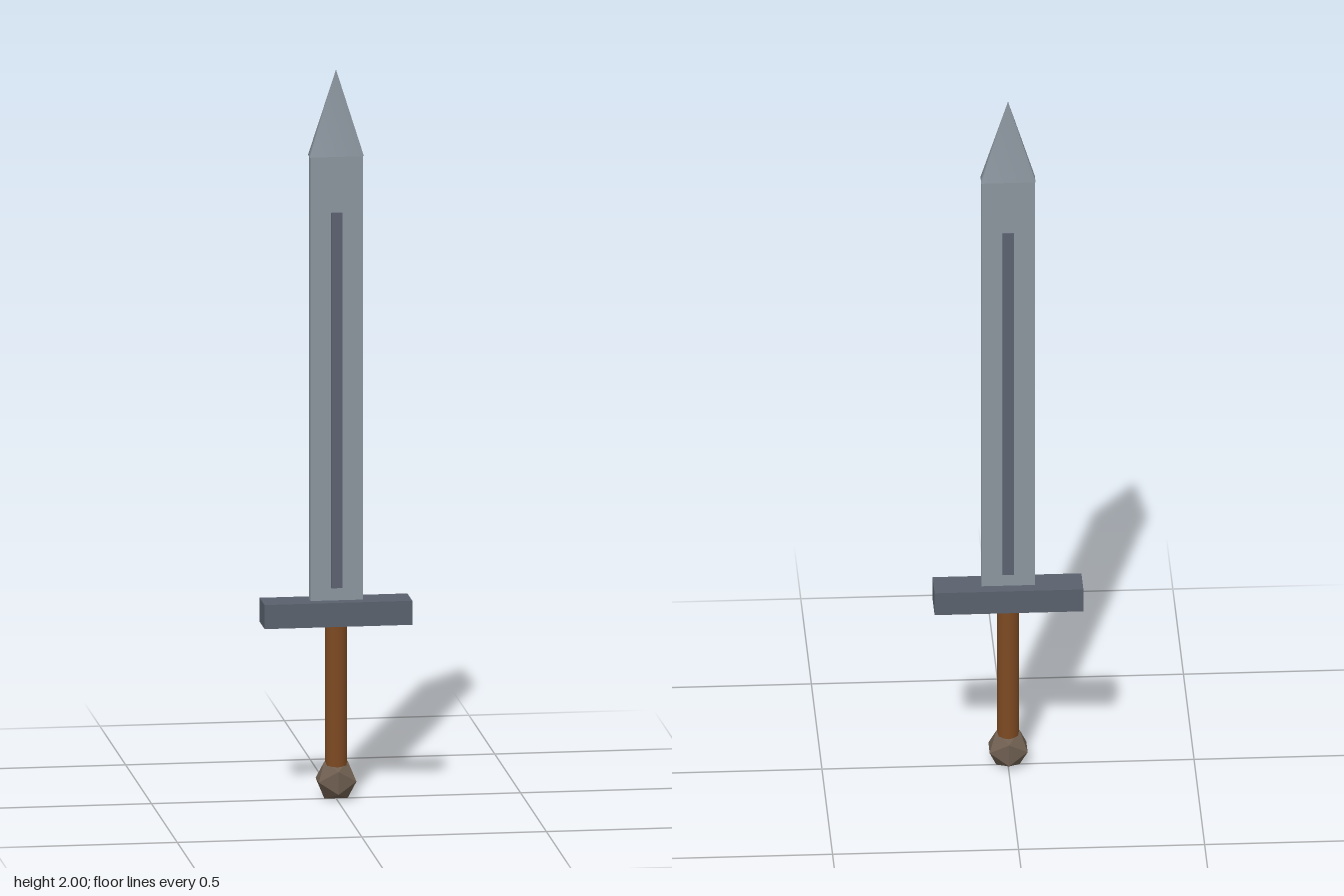
import * as THREE from 'three';

export function createModel() {
  const sword = new THREE.Group();
  sword.name = 'sword';

  const material = (name, color) => {
    const m = new THREE.MeshStandardMaterial({ color });
    m.name = name;
    return m;
  };
  const steel = material('steel', 0x8b959e);
  const darkSteel = material('dark steel', 0x5b6270);
  const iron = material('guard iron', 0x59616c);
  const leather = material('brown leather', 0x7d4a22);
  const bronze = material('dull bronze', 0x6e5e50);
  bronze.flatShading = true;

  const add = (name, geometry, mat, y) => {
    const mesh = new THREE.Mesh(geometry, mat);
    mesh.name = name;
    mesh.position.y = y;
    sword.add(mesh);
    return mesh;
  };

  // Faceted pommel standing on the ground
  add('pommel', new THREE.IcosahedronGeometry(0.06, 0), bronze, 0.051);

  // Round grip running from the pommel into the guard
  add('grip', new THREE.CylinderGeometry(0.03, 0.03, 0.41, 12), leather, 0.285);

  // Crossguard
  add('crossguard', new THREE.BoxGeometry(0.4, 0.066, 0.095), iron, 0.513);

  // Flat blade with a raised dark rib on both faces
  add('blade', new THREE.BoxGeometry(0.143, 1.22, 0.027), steel, 1.155);
  add('bladeRib', new THREE.BoxGeometry(0.03, 1.03, 0.036), darkSteel, 1.095);

  // Four-sided point, squashed front to back
  const tip = new THREE.ConeGeometry(Math.SQRT2, 0.236, 4);
  tip.rotateY(Math.PI / 4);
  tip.scale(0.073, 1, 0.02);
  add('bladeTip', tip, steel, 1.882);

  return sword;
}
